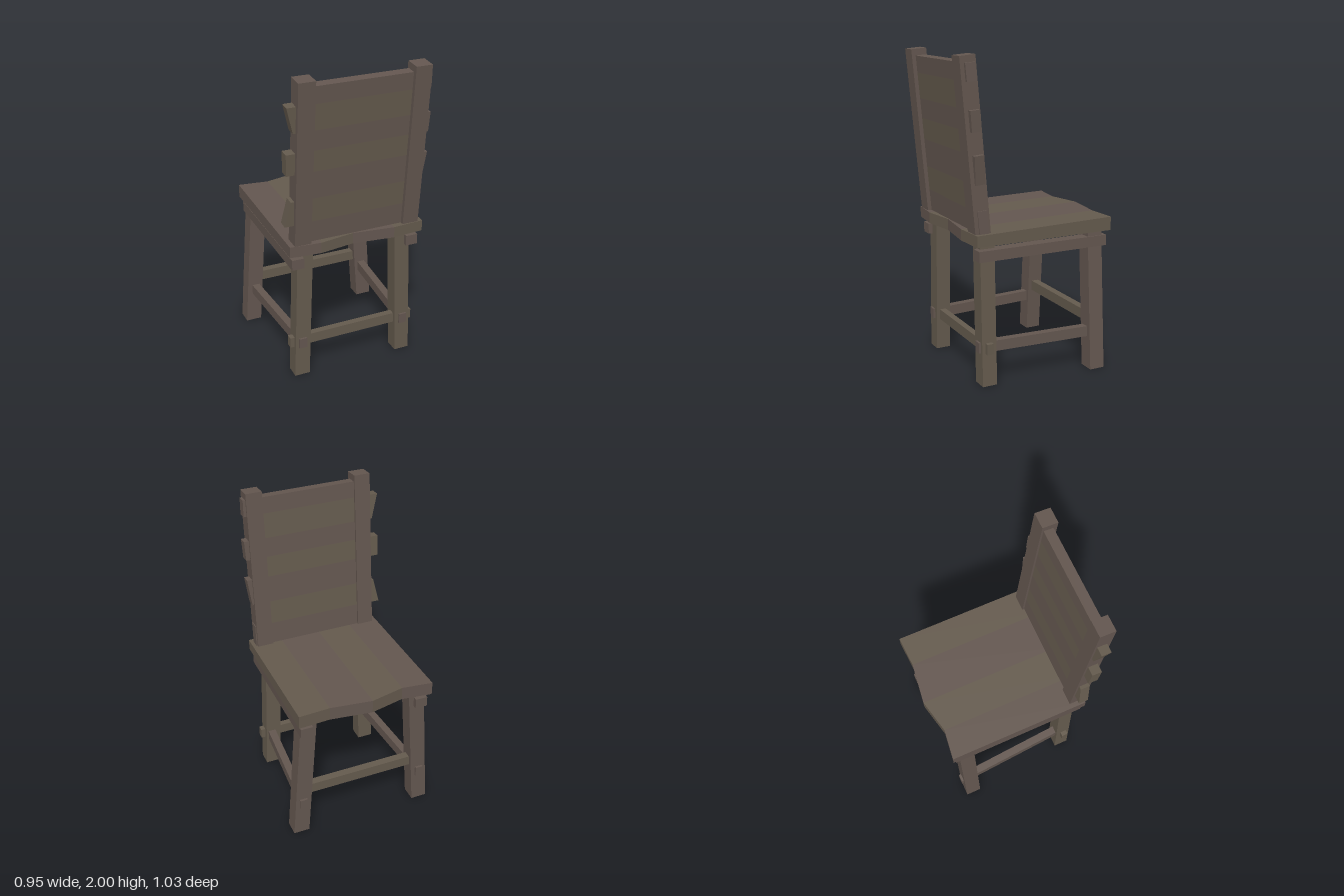
import * as THREE from 'three';

export function createModel() {
  const model = new THREE.Group();
  model.name = 'chair';

  const brown = new THREE.MeshStandardMaterial({ color: 0x63564f });
  brown.name = 'brown wood';
  const olive = new THREE.MeshStandardMaterial({ color: 0x645a4d });
  olive.name = 'olive wood';

  function add(name, geometry, material, parent = model) {
    const mesh = new THREE.Mesh(geometry, material);
    mesh.name = name;
    parent.add(mesh);
    return mesh;
  }

  // Straight timber whose x drifts by "lean" from one end of the axis to the other
  function timber(name, material, size, pos, axis = 1, lean = 0, parent = model) {
    const g = new THREE.BoxGeometry(...size);
    const p = g.attributes.position;
    for (let i = 0; i < p.count; i++) {
      p.setX(i, p.getX(i) + lean * p.getComponent(i, axis) / size[axis]);
    }
    g.computeVertexNormals();
    add(name, g, material, parent).position.set(...pos);
  }

  // Legs, rails and stretchers, mirrored left and right
  for (const s of [1, -1]) {
    const side = s > 0 ? 'left' : 'right';
    timber(side + 'FrontLeg', brown, [0.104, 0.9, 0.1], [s * 0.391, 0.45, -0.39], 1, -s * 0.064);
    timber(side + 'BackLeg', olive, [0.1, 0.9, 0.095], [s * 0.34, 0.45, 0.335], 1, -s * 0.03);
    timber(side + 'SeatRail', brown, [0.078, 0.067, 0.88], [s * 0.383, 0.825, -0.03]);
    timber(side + 'Stretcher', brown, [0.05, 0.067, 0.85], [s * 0.379, 0.242, -0.03], 2, -s * 0.058);
  }
  timber('backCrossbar', olive, [0.85, 0.067, 0.042], [0, 0.242, 0.34]);
  timber('frontCrossbar', olive, [0.76, 0.067, 0.05], [0, 0.322, -0.39]);

  // Seat boards with uneven ends: x, front z, back z at each joint
  const joints = [
    [-0.44, -0.49, 0.425],
    [-0.245, -0.465, 0.443],
    [-0.025, -0.515, 0.41],
    [0.24, -0.48, 0.443],
    [0.44, -0.49, 0.43],
  ];
  const seat = new THREE.Group();
  seat.name = 'seat';
  model.add(seat);
  for (let i = 0; i < 4; i++) {
    const [x0, f0, b0] = joints[i];
    const [x1, f1, b1] = joints[i + 1];
    const shape = new THREE.Shape([[x0, -b0], [x1, -b1], [x1, -f1], [x0, -f0]]
      .map(([x, y]) => new THREE.Vector2(x, y)));
    const g = new THREE.ExtrudeGeometry(shape, { depth: 0.07, bevelEnabled: false });
    g.rotateX(-Math.PI / 2);
    // The top rises slightly towards the front
    const p = g.attributes.position;
    for (let k = 0; k < p.count; k++) {
      const top = p.getY(k) > 0.03;
      p.setY(k, top ? 0.96 + (0.43 - p.getZ(k)) * 0.017 : 0.89);
    }
    g.computeVertexNormals();
    add('seatBoard', g, i % 2 ? olive : brown, seat);
  }

  // Backrest, leaning away from the seat
  const back = new THREE.Group();
  back.name = 'backrest';
  back.position.set(0, 0.93, 0.375);
  back.rotation.x = 0.0875;
  model.add(back);
  for (const s of [1, -1]) {
    timber(s > 0 ? 'leftPost' : 'rightPost', brown, [0.104, 1.07, 0.1],
      [s * 0.357, 0.535, 0], 1, 0, back);
  }

  // Planks, their ends poking out of alternate posts:
  // bottom y, top y, right x (bottom, top), left x (bottom, top)
  const planks = [
    [0.94, 1.10, -0.36, -0.36, 0.417, 0.415],
    [1.095, 1.255, -0.465, -0.43, 0.36, 0.36],
    [1.255, 1.43, -0.36, -0.36, 0.42, 0.442],
    [1.43, 1.565, -0.462, -0.465, 0.36, 0.36],
    [1.565, 1.69, -0.36, -0.36, 0.435, 0.44],
    [1.69, 1.85, -0.425, -0.465, 0.36, 0.36],
    [1.85, 1.955, -0.36, -0.36, 0.428, 0.425],
  ];
  planks.forEach(([y0, y1, l0, l1, r0, r1], i) => {
    const shape = new THREE.Shape([[l0, y0], [r0, y0], [r1, y1], [l1, y1]]
      .map(([x, y]) => new THREE.Vector2(x, (y - 0.93) * 1.004)));
    const g = new THREE.ExtrudeGeometry(shape, { depth: 0.062, bevelEnabled: false });
    g.translate(0, 0, -0.037);
    add('backPlank', g, i % 2 ? olive : brown, back);
  });

  return model;
}
